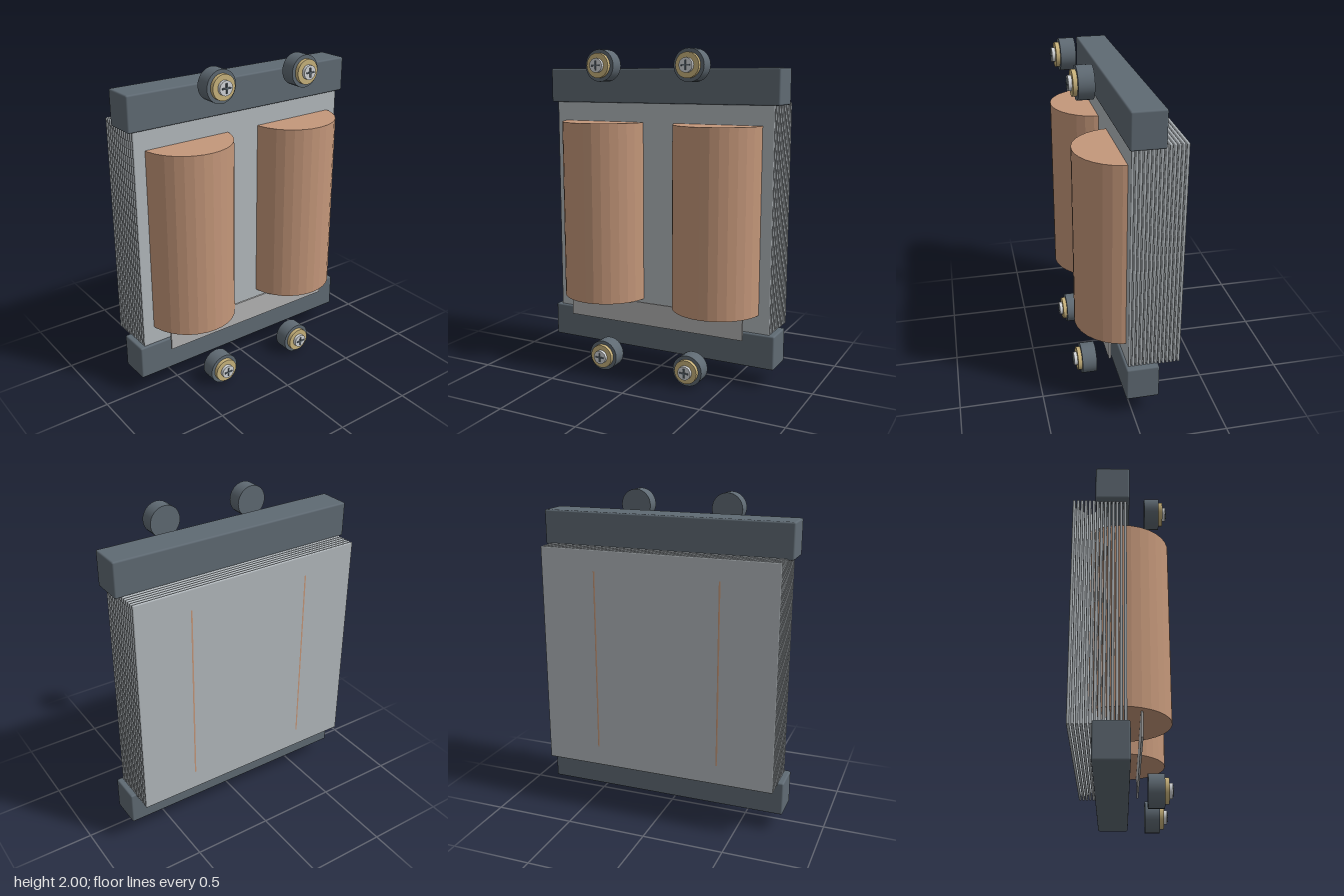
import * as THREE from 'three';
import { RoundedBoxGeometry } from 'three/addons/geometries/RoundedBoxGeometry.js';

const mat = (color, flatShading = false) => new THREE.MeshStandardMaterial({ color, flatShading });

export function createModel() {
  const model = new THREE.Group();
  const dark = mat(0x5f6a73), steel = mat(0xb2b8bc), copper = mat(0xc4977a, true);
  const brass = mat(0xc9b37c), screwSteel = mat(0xd2d5d8), labelGrey = mat(0xb4b4b4);

  const add = (parent, name, geometry, material, x, y, z) => {
    const mesh = new THREE.Mesh(geometry, material);
    mesh.name = name;
    mesh.position.set(x, y, z);
    parent.add(mesh);
    return mesh;
  };

  // Core: a stack of thin sheets
  const core = new THREE.Group();
  core.name = 'laminatedCore';
  model.add(core);
  const sheet = new RoundedBoxGeometry(1.47, 1.37, 0.016, 2, 0.006);
  for (let i = 0; i < 14; i++) add(core, 'coreSheet', sheet, steel, 0, 1.005, 0.017 - i * 0.0225);

  // Clamping bars at the top and bottom
  const bar = new RoundedBoxGeometry(1.54, 0.21, 0.195, 2, 0.01);
  add(model, 'lowerClamp', bar, dark, 0, 0.225, -0.056);
  add(model, 'upperClamp', bar, dark, 0, 1.785, -0.056);

  // Two copper windings through the core
  const coil = new THREE.CylinderGeometry(0.28, 0.28, 1.12, 32);
  for (const s of [-1, 1]) add(model, 'winding', coil, copper, s * 0.387, 1.003, -0.004);

  // Plain rating plate below the windings
  add(model, 'ratingPlate', new THREE.BoxGeometry(1.19, 0.145, 0.012), labelGrey, 0, 0.372, 0.104);

  // Terminals: bushing, brass ring, screw head and cross slot along z
  const disc = (r, depth) => new THREE.CylinderGeometry(r, r, depth, 32).rotateX(Math.PI / 2);
  const bushing = disc(0.095, 0.09), ring = disc(0.073, 0.024), head = disc(0.042, 0.02);
  const slot = new THREE.BoxGeometry(0.056, 0.009, 0.008);
  for (const x of [-0.293, 0.293]) {
    for (const y of [0.1, 1.905]) {
      const terminal = new THREE.Group();
      terminal.name = 'terminal';
      terminal.position.set(x, y, 0);
      model.add(terminal);
      add(terminal, 'bushing', bushing, dark, 0, 0, 0.185);
      add(terminal, 'brassRing', ring, brass, 0, 0, 0.242);
      add(terminal, 'screwHead', head, screwSteel, 0, 0, 0.264);
      add(terminal, 'screwSlot', slot, dark, 0, 0, 0.276);
      add(terminal, 'screwSlot', slot, dark, 0, 0, 0.276).rotation.z = Math.PI / 2;
    }
  }
  return model;
}
